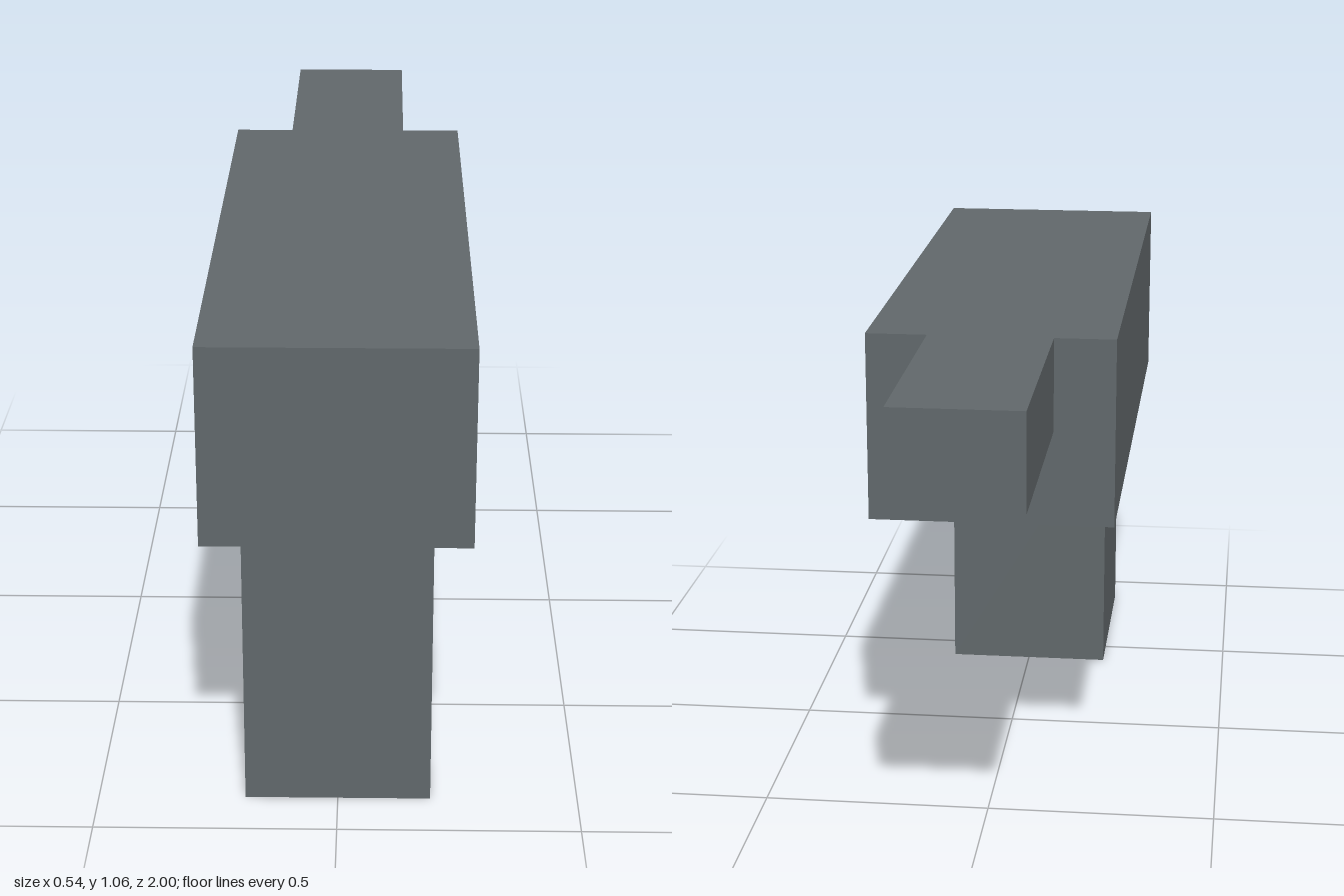
import * as THREE from 'three';

export function createModel() {
  const model = new THREE.Group();
  const darkGrey = new THREE.MeshStandardMaterial({ color: 0x60676a });
  darkGrey.name = 'dark grey';

  // Box spanning [min, max] on y and z, centred on x
  const addBlock = (name, width, [y0, y1], [z0, z1]) => {
    const mesh = new THREE.Mesh(new THREE.BoxGeometry(width, y1 - y0, z1 - z0), darkGrey);
    mesh.name = name;
    mesh.position.set(0, (y0 + y1) / 2, (z0 + z1) / 2);
    model.add(mesh);
  };

  addBlock('body', 0.535, [0.645, 1.06], [-0.43, 1]);
  addBlock('barrel', 0.27, [0.855, 1.06], [-1, -0.43]);
  addBlock('grip', 0.386, [0, 0.645], [0.405, 0.883]);

  return model;
}
